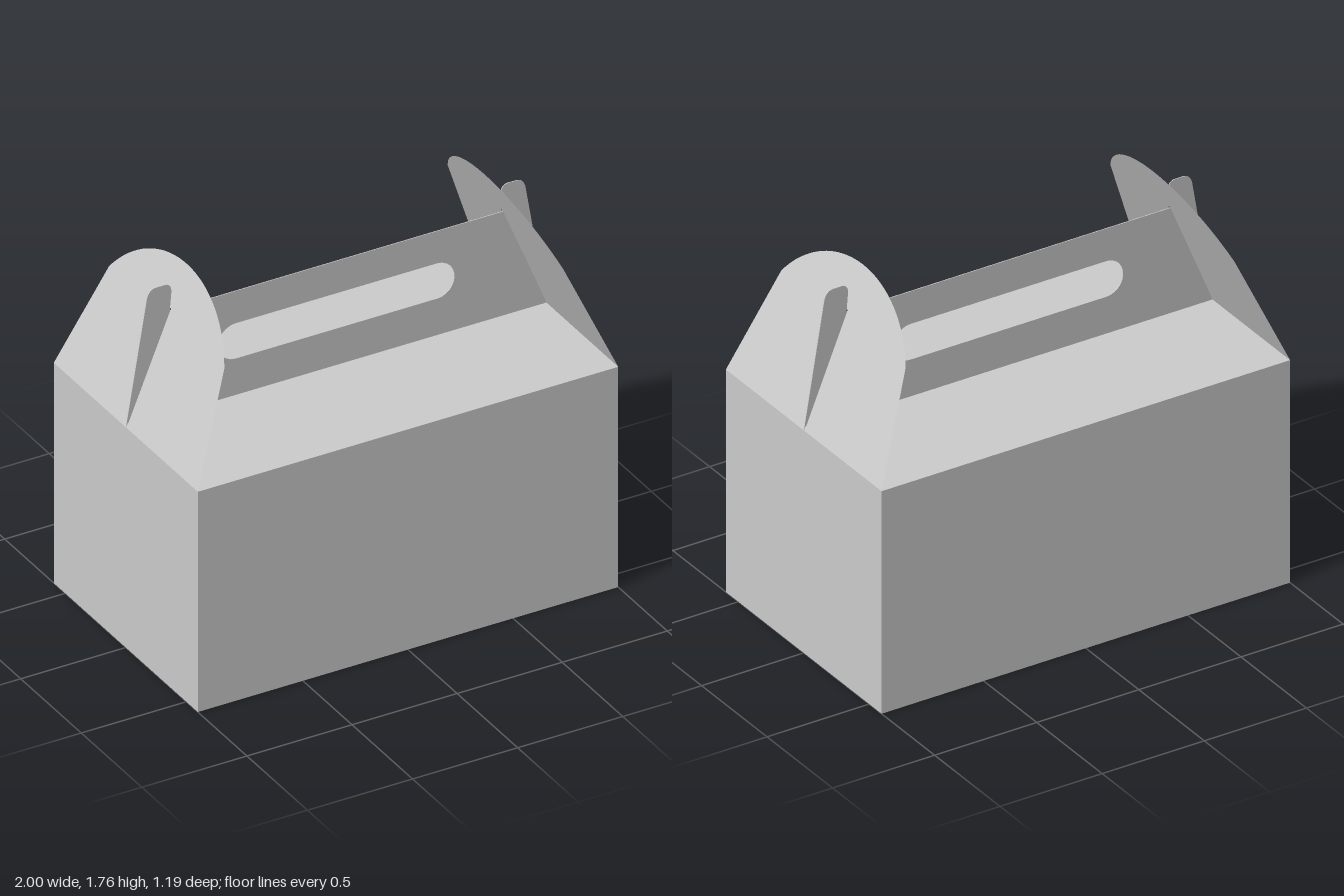
import * as THREE from 'three';

const W = 1, D = 0.595, H = 1.06;          // half width, half depth, body height
const LEAN_X = 0.29, LEAN_Y = 0.70;        // how far the end flaps lean in and rise
const material = new THREE.MeshStandardMaterial({ color: 0xcccccc, side: THREE.DoubleSide });

function part(name, geometry) {
  const mesh = new THREE.Mesh(geometry, material);
  mesh.name = name;
  return mesh;
}

// Leaning end flap with a rounded top and a slot for the handle's ear
function flapGeometry() {
  const top = Math.hypot(LEAN_X, LEAN_Y);
  const s = new THREE.Shape();
  s.moveTo(-D, 0);
  s.lineTo(D, 0);
  s.lineTo(0.475, 0.509);
  s.bezierCurveTo(0.38, 0.66, 0.2, top, 0, top);
  s.bezierCurveTo(-0.2, top, -0.38, 0.66, -0.475, 0.509);
  s.closePath();
  const slot = new THREE.Path();
  slot.moveTo(-0.006, 0.022);
  slot.lineTo(-0.006, 0.552);
  slot.lineTo(0.006, 0.552);
  slot.lineTo(0.006, 0.022);
  slot.closePath();
  s.holes.push(slot);
  return new THREE.ShapeGeometry(s, 16);
}

// Upright handle sheet with locking ears and a rounded grip hole
function handleGeometry() {
  const s = new THREE.Shape();
  s.moveTo(-W, H);
  s.lineTo(W, H);
  s.lineTo(0.9, 1.65);
  s.quadraticCurveTo(0.89, 1.69, 0.855, 1.69);
  s.lineTo(0.82, 1.69);
  s.quadraticCurveTo(0.78, 1.69, 0.785, 1.64);
  s.lineTo(0.792, 1.56);
  s.lineTo(-0.792, 1.56);
  s.lineTo(-0.785, 1.64);
  s.quadraticCurveTo(-0.78, 1.69, -0.82, 1.69);
  s.lineTo(-0.855, 1.69);
  s.quadraticCurveTo(-0.89, 1.69, -0.9, 1.65);
  s.closePath();
  const r = 0.085, cx = 0.478, cy = 1.32;
  const grip = new THREE.Path();
  grip.absarc(cx, cy, r, Math.PI / 2, -Math.PI / 2, true);
  grip.absarc(-cx, cy, r, -Math.PI / 2, -Math.PI * 1.5, true);
  grip.closePath();
  s.holes.push(grip);
  const g = new THREE.ExtrudeGeometry(s, { depth: 0.004, bevelEnabled: false, curveSegments: 10 });
  return g.translate(0, 0, -0.002);
}

export function createModel() {
  const model = new THREE.Group();
  model.name = 'gableBox';

  // Closed box with a flat top
  const body = part('body', new THREE.BoxGeometry(2 * W, H, 2 * D));
  body.position.y = H / 2;
  model.add(body);

  model.add(part('handle', handleGeometry()));

  // Mirrored end flaps hinged on the top side edges
  const lean = Math.atan2(LEAN_X, LEAN_Y);
  for (const side of [1, -1]) {
    const flap = part(side > 0 ? 'leftFlap' : 'rightFlap', flapGeometry());
    flap.position.set(side * W, H, 0);
    flap.rotation.set(0, side * Math.PI / 2, side * lean, 'ZYX');
    model.add(flap);
  }
  return model;
}
